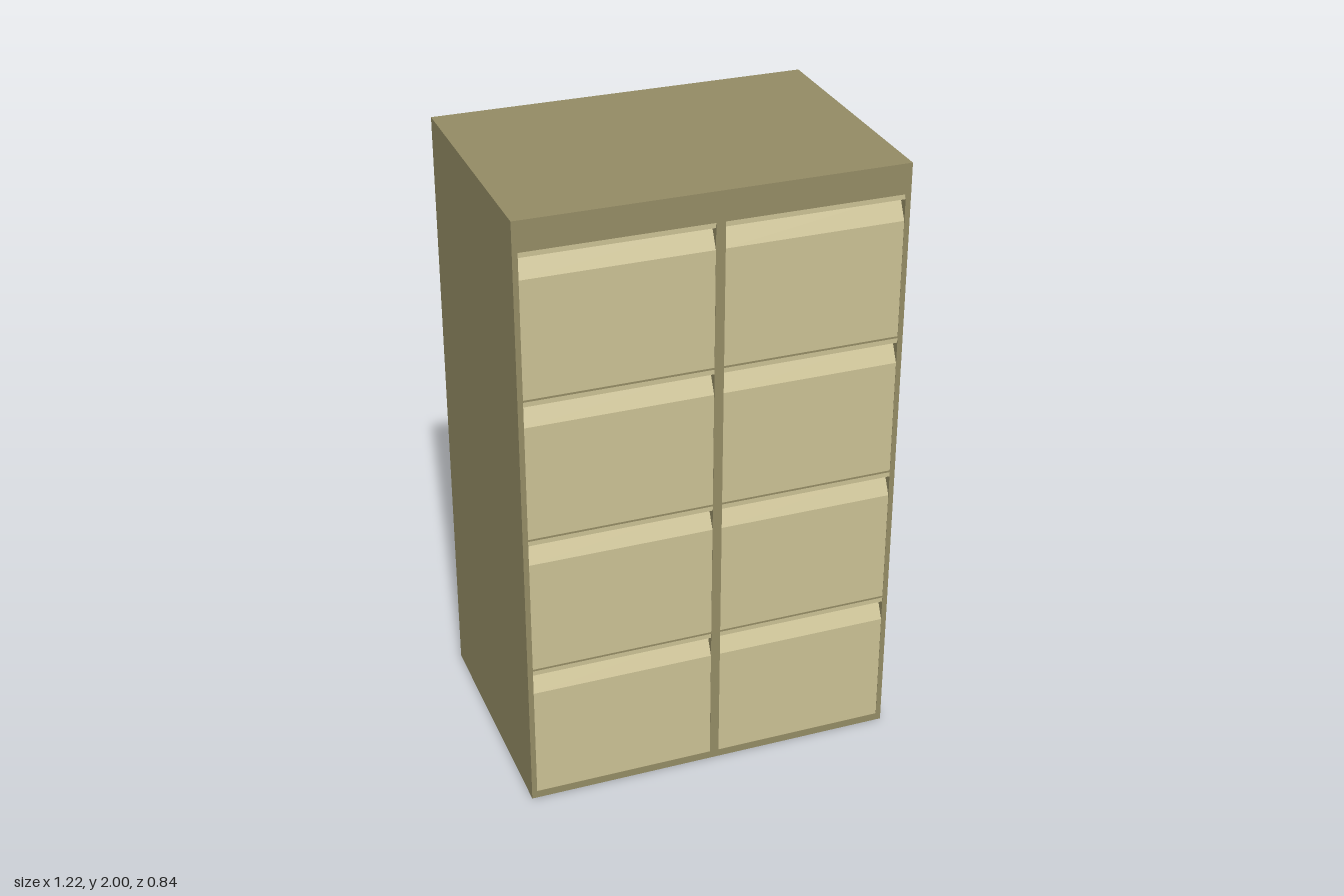
import * as THREE from 'three';

const W = 1.22, H = 2, D = 0.84;            // overall cabinet size
const FRAME = 0.05;                         // depth of the front frame
const COLUMNS = [[-0.593, -0.003], [0.027, 0.593]];
const ROWS = 4, BOTTOM = 0.025, PITCH = 0.471, DRAWER_H = 0.465;

// Closed rectangle, as a Shape or a Path
function rect(path, x0, y0, x1, y1) {
  path.moveTo(x0, y0);
  path.lineTo(x1, y0);
  path.lineTo(x1, y1);
  path.lineTo(x0, y1);
  path.closePath();
  return path;
}

export function createModel() {
  const group = new THREE.Group();
  const bodyMat = new THREE.MeshStandardMaterial({ color: 0x938b64 });
  const drawerMat = new THREE.MeshStandardMaterial({ color: 0xcac094 });

  const add = (name, geometry, material, x, y, z) => {
    const mesh = new THREE.Mesh(geometry, material);
    mesh.name = name;
    mesh.position.set(x, y, z);
    group.add(mesh);
  };

  // Cabinet body behind the frame
  add('cabinetBody', new THREE.BoxGeometry(W, H, D - FRAME), bodyMat, 0, H / 2, -FRAME / 2);

  // Front frame with one opening per drawer
  const frame = rect(new THREE.Shape(), -W / 2, 0, W / 2, H);
  for (const [x0, x1] of COLUMNS) {
    for (let r = 0; r < ROWS; r++) {
      const y = BOTTOM + r * PITCH;
      frame.holes.push(rect(new THREE.Path(), x0, y, x1, y + DRAWER_H));
    }
  }
  add('frontFrame', new THREE.ExtrudeGeometry(frame, { depth: FRAME, bevelEnabled: false }),
    bodyMat, 0, 0, D / 2 - FRAME);

  // Drawer front in section: flat panel, sloped finger pull, narrow top lip
  const f = FRAME - 0.001;
  const section = new THREE.Shape([
    [0, 0], [f, 0], [f, 0.38], [f - 0.035, 0.449], [f, 0.449], [f, DRAWER_H], [0, DRAWER_H],
  ].map(([z, y]) => new THREE.Vector2(z, y)));

  COLUMNS.forEach(([x0, x1], c) => {
    const geometry = new THREE.ExtrudeGeometry(section, { depth: x1 - x0, bevelEnabled: false });
    geometry.rotateY(-Math.PI / 2);
    for (let r = 0; r < ROWS; r++) {
      add(`${c ? 'left' : 'right'}Drawer${r + 1}`, geometry, drawerMat,
        x1, BOTTOM + r * PITCH, D / 2 - FRAME);
    }
  });

  return group;
}
